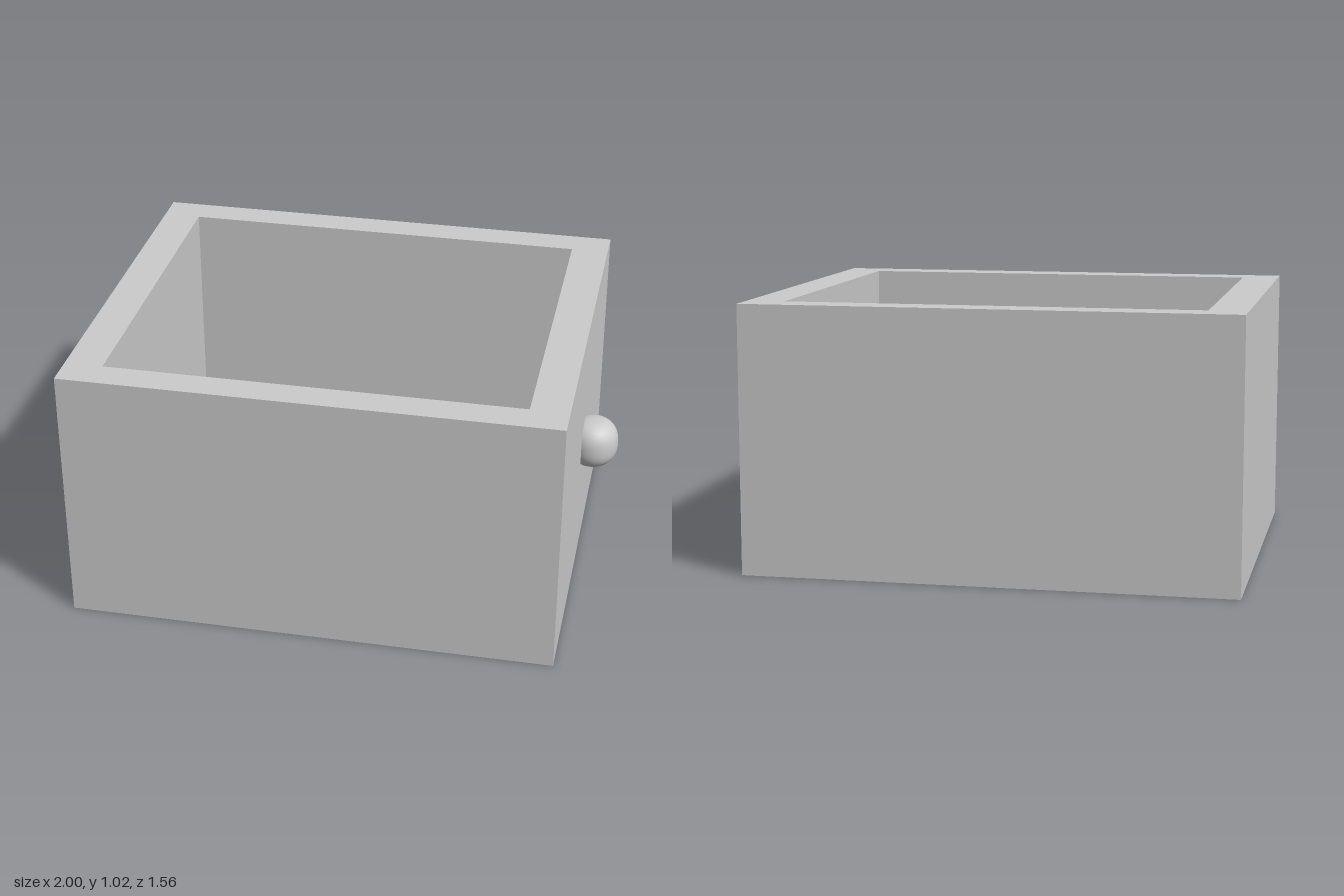
import * as THREE from 'three';

const HEIGHT = 1.02, FLOOR = 0.13;
const OUTER = { x0: -1, x1: 0.865, z: 0.782 };
const INNER = { x0: -0.855, x1: 0.72, z: 0.66 };

const material = new THREE.MeshStandardMaterial({ color: 0xcccccc });

function addPart(group, name, geometry, x = 0, y = 0, z = 0) {
  const mesh = new THREE.Mesh(geometry, material);
  mesh.name = name;
  mesh.position.set(x, y, z);
  group.add(mesh);
  return mesh;
}

function rectangle(path, { x0, x1, z }) {
  path.moveTo(x0, -z);
  path.lineTo(x1, -z);
  path.lineTo(x1, z);
  path.lineTo(x0, z);
  path.closePath();
  return path;
}

export function createModel() {
  const drawer = new THREE.Group();
  drawer.name = 'drawer';

  // Four thick walls as one extruded frame, open at the top
  const frame = rectangle(new THREE.Shape(), OUTER);
  frame.holes.push(rectangle(new THREE.Path(), INNER));
  const walls = new THREE.ExtrudeGeometry(frame, { depth: HEIGHT, bevelEnabled: false });
  walls.rotateX(-Math.PI / 2);
  addPart(drawer, 'walls', walls);

  // Floor panel filling the opening between the walls
  const floor = new THREE.BoxGeometry(INNER.x1 - INNER.x0, FLOOR, INNER.z * 2);
  addPart(drawer, 'floor', floor, (INNER.x0 + INNER.x1) / 2, FLOOR / 2, 0);

  // Knob: round from above, slightly squared from the side
  const profile = [];
  const radius = 0.099, halfHeight = 0.097, power = 2 / 2.45;
  for (let i = 0; i <= 24; i++) {
    const a = -Math.PI / 2 + (Math.PI * i) / 24;
    const r = i % 24 === 0 ? 0 : radius * Math.pow(Math.cos(a), power);
    const y = halfHeight * Math.sign(Math.sin(a)) * Math.pow(Math.abs(Math.sin(a)), power);
    profile.push(new THREE.Vector2(r, y));
  }
  addPart(drawer, 'knob', new THREE.LatheGeometry(profile, 40), 0.901, 0.513, -0.013);

  return drawer;
}
